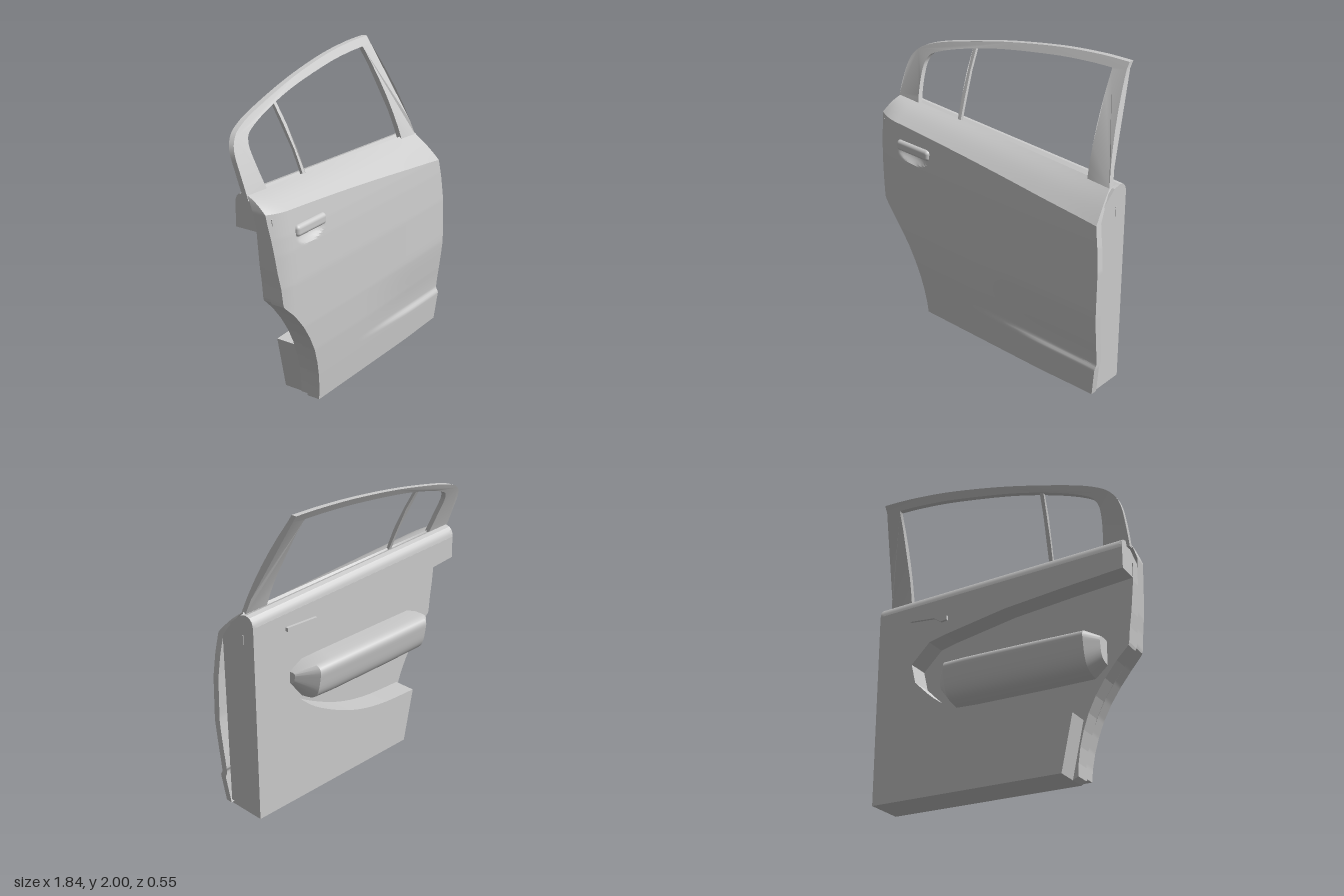
import * as THREE from 'three';
import { toCreasedNormals } from 'three/addons/utils/BufferGeometryUtils.js';
import { RoundedBoxGeometry } from 'three/addons/geometries/RoundedBoxGeometry.js';

const material = new THREE.MeshStandardMaterial({ color: 0xcccccc, side: THREE.DoubleSide });
const { lerp, smoothstep, clamp } = THREE.MathUtils;

// Piecewise linear lookup through [key, value] pairs
function lookup(table, k) {
  if (k <= table[0][0]) return table[0][1];
  for (let i = 1; i < table.length; i++) {
    const [k0, v0] = table[i - 1], [k1, v1] = table[i];
    if (k <= k1) return lerp(v0, v1, (k - k0) / (k1 - k0));
  }
  return table[table.length - 1][1];
}

// Rear edge (wheel arch), front edge and outward bulge of the door, all by height
const REAR = [[0.02, -0.505], [0.1, -0.51], [0.2, -0.525], [0.3, -0.55], [0.4, -0.585], [0.5, -0.635], [0.6, -0.70],
  [0.7, -0.78], [0.78, -0.86], [0.8, -0.865], [0.9, -0.875], [1.0, -0.89], [1.2, -0.91], [1.35, -0.925], [1.44, -0.9]];
const FRONT = [[0.02, 0.885], [0.22, 0.91], [0.6, 0.918], [0.9, 0.915], [1.05, 0.9], [1.2, 0.875], [1.37, 0.83]];
const BULGE = [[0.02, 0.238], [0.2, 0.252], [0.4, 0.266], [0.6, 0.272], [0.9, 0.266], [1.1, 0.253], [1.2, 0.243], [1.35, 0.222]];

const crease = u => 1.35 - 0.1 * u - 0.06 * u * u;
const belt = u => 1.435 - 0.07 * u;

function skinZ(x, y) {
  let z = lookup(BULGE, y);
  z -= 0.04 * clamp((-0.76 - x) / 0.16, 0, 1) ** 2;                       // rounded rear edge
  z -= 0.012 * smoothstep(x, 0.4, 0.92);
  const line = 0.245 - 0.03 * smoothstep(x, -0.15, 0.9);                  // lower swage line
  z -= 0.02 * smoothstep(x, -0.15, 0.6) * smoothstep(y, line - 0.005, line + 0.035) * (1 - smoothstep(y, line + 0.05, 0.65));
  const d = ((x + 0.59) / 0.13) ** 2 + ((y - 1.165) / 0.06) ** 2;         // finger scoop
  return z - 0.035 * Math.max(0, 1 - d);
}

function mesh(name, geometry) {
  const m = new THREE.Mesh(geometry, material);
  m.name = name;
  return m;
}

// Surface through rows of [x, y, z] points
function loft(name, rows, angle = 0.45) {
  const n = rows[0].length, index = [];
  for (let j = 0; j < rows.length - 1; j++)
    for (let i = 0; i < n - 1; i++) {
      const a = j * n + i, b = a + n;
      index.push(a, a + 1, b, a + 1, b + 1, b);
    }
  const g = new THREE.BufferGeometry();
  g.setAttribute('position', new THREE.Float32BufferAttribute(rows.flat(2), 3));
  g.setIndex(index);
  return mesh(name, toCreasedNormals(g, angle));
}

const vec = pts => pts.map(([x, y]) => new THREE.Vector2(x, y));

// Flat plate in x, y between two depths
function plate(name, points, z0, z1) {
  const g = new THREE.ExtrudeGeometry(new THREE.Shape(vec(points)), { depth: z1 - z0, bevelEnabled: false });
  return mesh(name, g.translate(0, 0, z0));
}

// Plate with a z, y outline, lying across x
function endPlate(name, points, x, thickness) {
  const shape = new THREE.Shape(vec(points.map(([z, y]) => [-z, y])));
  const g = new THREE.ExtrudeGeometry(shape, { depth: thickness, bevelEnabled: false });
  return mesh(name, g.rotateY(Math.PI / 2).translate(x, 0, 0));
}

// Outer skin, shoulder and rounded window sill
function doorSkin() {
  const U = 110, V = 110, S = 8, rows = [];
  const row = (point, rearLip, frontLip) => {
    const r = [];
    for (let i = 0; i <= U; i++) r.push(point(i / U));
    const [a, b] = [r[0], r[U]];
    return [[a[0], a[1], a[2] - rearLip], ...r, [b[0], b[1], b[2] - frontLip]];
  };
  const body = v => u => {
    const y = lerp(0.02, crease(u), v);
    const x = lerp(lookup(REAR, y), lookup(FRONT, y), u);
    return [x, y, skinZ(x, y)];
  };
  rows.push(row(u => { const p = body(0)(u); return [p[0], p[1], p[2] - 0.045]; }, 0.05, 0));
  for (let j = 0; j <= V; j++) rows.push(row(body(j / V), 0.09, 0.045));
  for (let j = 1; j <= S; j++) {
    const t = j / S;
    rows.push(row(u => {
      const c = body(1)(u), y = lerp(c[1], belt(u), t);
      const x = lerp(lookup(REAR, y), lookup(FRONT, y), u);
      return [x, y + 0.012 * Math.sin(Math.PI * t), lerp(c[2], lerp(0.03, 0.05, u), t)];
    }, 0.09 * (1 - t), 0.045 * (1 - t)));
  }
  for (const [z, drop] of [[0.03, 0.012], [0, 0], [-0.03, 0.008], [-0.048, 0.025], [-0.058, 0.05], [-0.06, 0.09]])
    rows.push(row(u => [lerp(-0.89, 0.86, u), belt(u) - drop, z], 0, 0));
  return loft('doorSkin', rows);
}

// Window surround leaning inward with height
const lean = y => { const h = y - 1.4; return 0.035 - 0.316 * h - 0.293 * h * h; };

function leaning(name, shape, depth) {
  const g = new THREE.ExtrudeGeometry(shape, { depth, bevelEnabled: false });
  const p = g.attributes.position;
  for (let i = 0; i < p.count; i++) p.setZ(i, p.getZ(i) - depth / 2 + lean(p.getY(i)));
  g.deleteAttribute('normal');
  return mesh(name, toCreasedNormals(g, 0.5));
}

function windowFrame() {
  const outer = new THREE.SplineCurve(vec([[-0.91, 1.4], [-0.91, 1.53], [-0.9, 1.65], [-0.86, 1.72], [-0.78, 1.77],
    [-0.6, 1.825], [-0.2, 1.91], [0.2, 1.97], [0.5, 1.995], [0.71, 2]])).getPoints(48);
  const inner = new THREE.SplineCurve(vec([[-0.73, 1.41], [-0.75, 1.5], [-0.765, 1.62], [-0.755, 1.69], [-0.7, 1.74],
    [-0.5, 1.805], [-0.2, 1.87], [0.2, 1.925], [0.45, 1.945], [0.61, 1.95]])).getPoints(48);
  const steps = [0, 1, 2, 3, 4, 5, 6];
  const front = steps.map(i => new THREE.Vector2(lerp(0.71, 0.835, i / 6), lerp(1.96, 1.35, i / 6)));
  const back = steps.map(i => new THREE.Vector2(lerp(0.672, 0.615, i / 6), lerp(1.35, 1.94, i / 6)));
  return leaning('windowFrame', new THREE.Shape([...outer, ...front, ...back, ...inner.reverse()]), 0.035);
}

function armrest() {
  const profile = new THREE.SplineCurve(vec([[0.1, 0.87], [0, 0.873], [-0.06, 0.868], [-0.088, 0.84], [-0.083, 0.78],
    [-0.06, 0.68], [-0.01, 0.625], [0.1, 0.6]])).getPoints(28);
  const sections = [[0.45, 0], [0.45, 0.3], [0.35, 0.97], [0.2, 1], [-0.3, 1], [-0.62, 0.98], [-0.7, 0.6], [-0.7, 0]];
  return loft('armrest', sections.map(([x, s]) => profile.map(p => [x, 0.79 + (p.y - 0.79) * s, 0.1 + (p.x - 0.1) * s])), 0.6);
}

export function createModel() {
  const door = new THREE.Group();
  door.name = 'carDoor';
  door.add(doorSkin(), windowFrame(), armrest());

  // Slim bar dividing the window
  door.add(leaning('windowDivider', new THREE.Shape(vec([[-0.42, 1.84], [-0.41, 1.7], [-0.395, 1.55], [-0.385, 1.4],
    [-0.36, 1.4], [-0.368, 1.55], [-0.383, 1.7], [-0.395, 1.84]])), 0.02));

  // Core behind the skin; its back is the floor of the trim pocket
  const arch = REAR.filter(([y]) => y < 1.3).map(([y, x]) => [x + 0.02, y]);
  door.add(plate('doorCore', [[-0.45, 0], [0.86, 0], [0.86, 1.18], [-0.895, 1.32], ...arch.reverse()], 0.09, 0.205));

  // Inner trim with a pocket open toward the wheel arch
  const pocket = new THREE.SplineCurve(vec([[0.57, 0.77], [0.38, 0.6], [0.08, 0.45], [-0.2, 0.38], [-0.53, 0.36]])).getPoints(20);
  door.add(plate('innerTrim', [[-0.45, 0], [0.86, 0], [0.86, 1.3], [-0.89, 1.365], [-0.885, 1.22], [-0.5, 1.185],
    [-0.08, 1.14], [0.35, 1.06], [0.47, 1.03], [0.6, 0.9], ...pocket.map(p => [p.x, p.y])], -0.06, 0.1));

  // Closed ends of the door body
  door.add(endPlate('frontEnd', [[0.205, 0], [0.215, 1.18], [0.19, 1.23], [0.05, 1.352], [0, 1.364], [-0.03, 1.357],
    [-0.048, 1.34], [-0.058, 1.315], [-0.06, 1.28], [-0.06, 0]], 0.84, 0.02));
  door.add(endPlate('rearEnd', [[0.17, 1.28], [0.17, 1.35], [0.04, 1.42], [0, 1.434], [-0.03, 1.426], [-0.048, 1.41],
    [-0.058, 1.385], [-0.06, 1.22], [0.1, 1.22]], -0.89, 0.02));

  // Outer pull handle
  const handle = mesh('outerHandle', new RoundedBoxGeometry(0.285, 0.072, 0.05, 5, 0.024));
  handle.position.set(-0.588, 1.203, 0.237);
  door.add(handle);

  // Inner release lever
  door.add(plate('innerLever', [[0.61, 1.225], [0.61, 1.2], [0.43, 1.185], [0.38, 1.15], [0.335, 1.155], [0.335, 1.185],
    [0.37, 1.215]], -0.078, -0.05));

  // Slot in the front end
  const slot = mesh('latchSlot', new THREE.BoxGeometry(0.004, 0.06, 0.012));
  slot.position.set(0.861, 1.2, 0.03);
  door.add(slot);
  return door;
}
